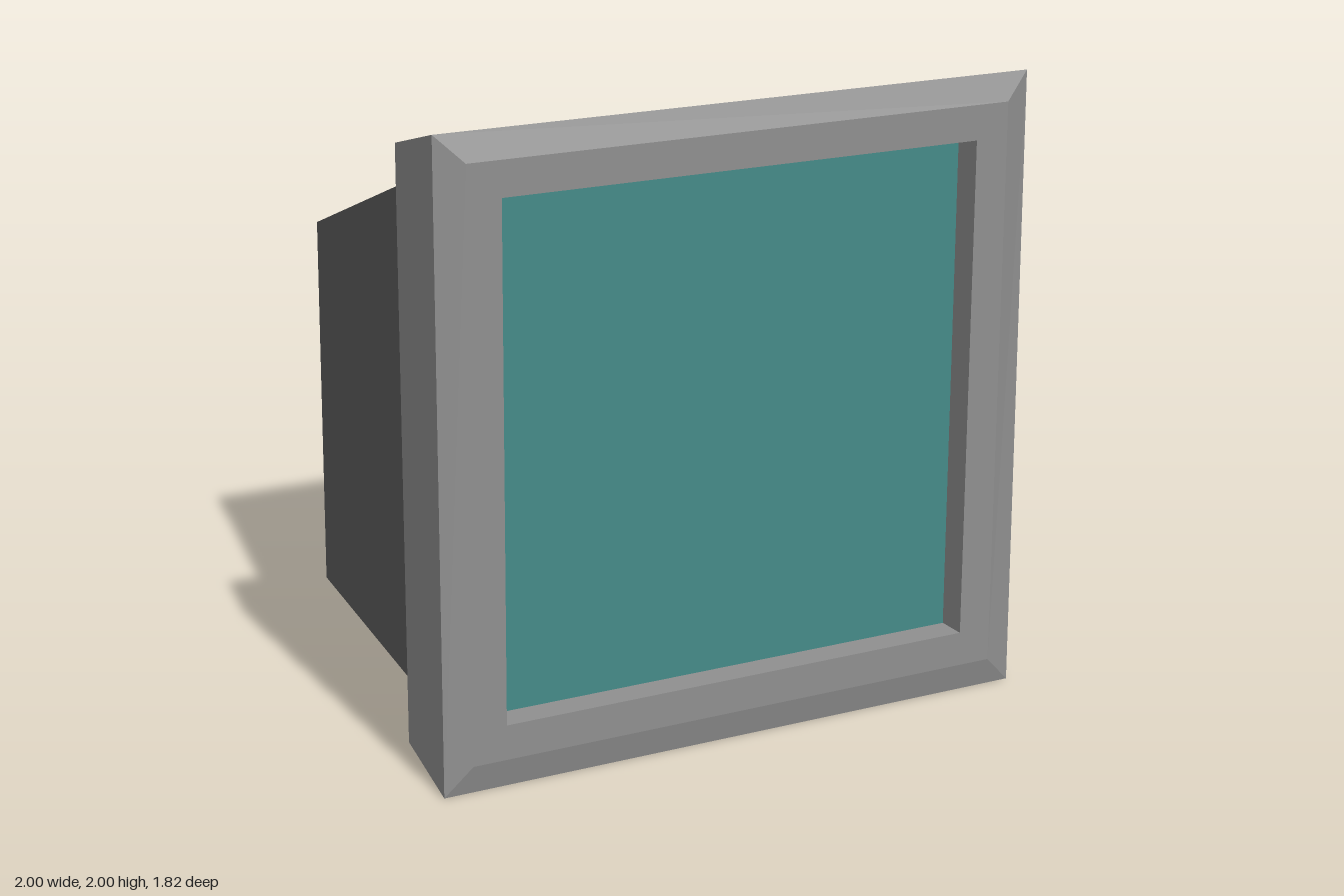
import * as THREE from 'three';

// Skin a run of rectangular sections, each [halfWidth, yBottom, yTop, zBottom, zTop].
function loft(sections, capEnd = false) {
  const rings = sections.map(([w, y0, y1, z0, z1 = z0]) => [
    [-w, y0, z0], [w, y0, z0], [w, y1, z1], [-w, y1, z1],
  ]);
  const pos = [];
  const quad = (a, b, c, d) => pos.push(...a, ...b, ...c, ...a, ...c, ...d);
  for (let k = 0; k < rings.length - 1; k++) {
    const a = rings[k], b = rings[k + 1];
    for (let i = 0; i < 4; i++) {
      const j = (i + 1) % 4;
      quad(a[i], b[i], b[j], a[j]);
    }
  }
  if (capEnd) {
    const e = rings[rings.length - 1];
    quad(e[3], e[2], e[1], e[0]);
  }
  const geo = new THREE.BufferGeometry();
  geo.setAttribute('position', new THREE.Float32BufferAttribute(pos, 3));
  geo.computeVertexNormals();
  return geo;
}

function material(name, color) {
  const m = new THREE.MeshStandardMaterial({ color });
  m.name = name;
  return m;
}

export function createModel() {
  const group = new THREE.Group();
  group.name = 'monitor';
  const add = (name, geo, mat) => {
    const mesh = new THREE.Mesh(geo, mat);
    mesh.name = name;
    group.add(mesh);
    return mesh;
  };
  const bezelGrey = material('bezelGrey', 0x8f8f8f);
  const housingGrey = material('housingGrey', 0x5d5d5d);
  const screenTeal = material('screenTeal', 0x458a88);

  // Bezel: screen recess, front face, chamfer, tapered sides, rear lip and rear recess
  add('bezel', loft([
    [0.8, 0.2, 1.8, 0.81],
    [0.8, 0.2, 1.8, 0.908],
    [0.91, 0.09, 1.91, 0.908],
    [0.998, 0, 1.995, 0.89, 0.875],
    [0.94, 0.02, 1.89, 0.507, 0.488],
    [0.925, 0.04, 1.87, 0.493, 0.478],
    [0.91, 0.055, 1.855, 0.495, 0.48],
    [0.85, 0.105, 1.8, 0.55],
  ]), bezelGrey);

  // Flat screen set into the bezel
  const screen = add('screen', new THREE.PlaneGeometry(1.6, 1.6), screenTeal);
  screen.position.set(0, 1, 0.81);

  // Tapered rear housing with a chamfered back
  add('housing', loft([
    [0.856, 0.108, 1.815, 0.56],
    [0.64, 0.05, 1.32, -0.86],
    [0.58, 0.1, 1.255, -0.908],
  ], true), housingGrey);

  return group;
}
